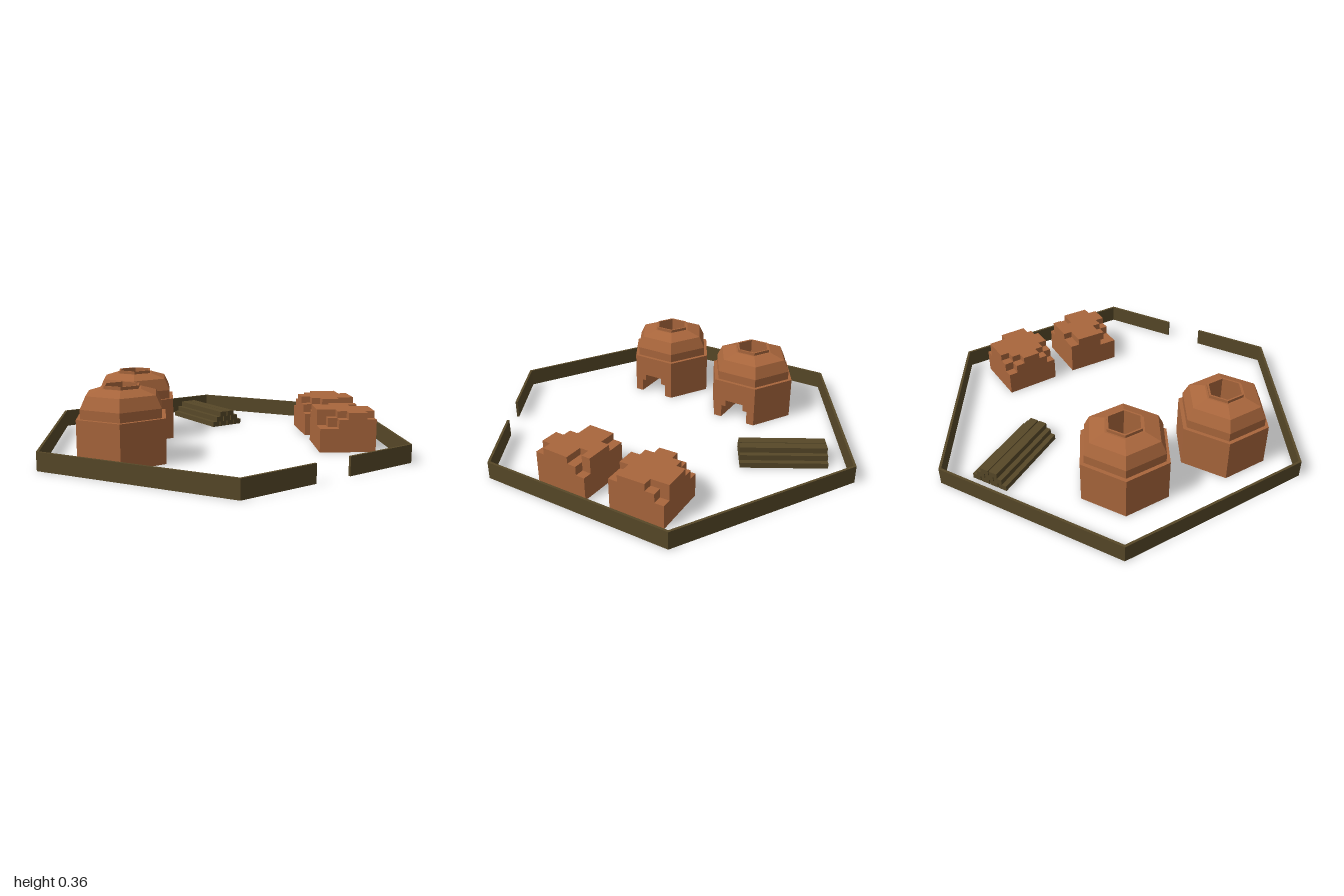
import * as THREE from 'three';

const clay = new THREE.MeshStandardMaterial({ color: 0xa9663c, flatShading: true });
const wood = new THREE.MeshStandardMaterial({ color: 0x574828, flatShading: true });

const polar = (r, deg) => {
  const a = THREE.MathUtils.degToRad(deg);
  return new THREE.Vector2(r * Math.cos(a), r * Math.sin(a));
};
const V = (x, y) => new THREE.Vector2(x, y);

// Upright prism from a floor plan (plan y points to -z)
function prism(name, plan, y0, y1, material, hole) {
  const shape = new THREE.Shape(plan);
  if (hole) shape.holes.push(new THREE.Path(hole));
  const geo = new THREE.ExtrudeGeometry(shape, { depth: y1 - y0, bevelEnabled: false });
  geo.rotateX(-Math.PI / 2).translate(0, y0, 0);
  const mesh = new THREE.Mesh(geo, material);
  mesh.name = name;
  return mesh;
}

function box(name, w, h, d, x, y, z, material) {
  const mesh = new THREE.Mesh(new THREE.BoxGeometry(w, h, d), material);
  mesh.position.set(x, y, z);
  mesh.name = name;
  return mesh;
}

// Hexagonal perimeter wall with an entrance gap in the front side
function perimeterWall() {
  const R = 1, r = 0.986, gap = 0.1, k = Math.sqrt(3) / 2;
  const angles = [300, 360, 420, 480, 540, 600];
  const plan = [
    V(gap, -R * k), ...angles.map(a => polar(R, a)), V(-gap, -R * k),
    V(-gap, -r * k), ...angles.reverse().map(a => polar(r, a)), V(gap, -r * k),
  ];
  return prism('perimeterWall', plan, 0, 0.09, wood);
}

// Hexagonal hut: walls with a stepped doorway, faceted dome and open shaft
function hut(x, z) {
  const g = new THREE.Group();
  g.name = 'hut';
  const R = 0.238, r = 0.085, face = R * Math.sqrt(3) / 2;
  const ring = [30, 90, 150, 210, 270, 330];
  const withDoor = w => {
    const xi = (r - w) * Math.sqrt(3);
    return [
      V(face, w), ...ring.map(a => polar(R, a)), V(face, -w),
      V(xi, -w), ...[270, 210, 150, 90].map(a => polar(r, a)), V(xi, w),
    ];
  };
  g.add(prism('lowerWall', withDoor(0.076), 0, 0.07, clay));
  g.add(prism('doorArchWall', withDoor(0.052), 0.07, 0.105, clay));
  g.add(prism('upperWall', ring.map(a => polar(R, a)), 0.105, 0.217, clay, ring.map(a => polar(r, a))));

  const profile = [
    [0.217, 0.217], [0.217, 0.262], [0.187, 0.322], [0.105, 0.347],
    [0.095, 0.347], [0.095, 0.362], [r, 0.362], [r, 0.217],
  ].map(p => V(...p));
  const dome = new THREE.Mesh(new THREE.LatheGeometry(profile, 6), clay);
  dome.name = 'dome';
  g.add(dome);

  g.position.set(x, 0, z);
  g.rotation.y = -Math.PI / 6;
  return g;
}

// Brick stack: solid block topped by courses with missing bricks.
// Each digit is the number of courses left in that cell.
function brickStack(x, z, deg, rows) {
  const g = new THREE.Group();
  g.name = 'brickStack';
  const size = 0.282, c = size / 6, levels = [0.08, 0.12, 0.165, 0.2];
  g.add(box('stackBase', size, 0.08, size, 0, 0.04, 0, clay));
  for (let k = 1; k < levels.length; k++) {
    const y0 = levels[k - 1], h = levels[k] - y0;
    rows.forEach((row, j) => {
      // merge neighbouring cells of a row into one long brick
      for (let i = 0; i < 6; i++) {
        const start = i;
        while (i < 6 && Number(row[i]) >= k) i++;
        const n = i - start;
        if (n > 0) {
          g.add(box('brickCourse', n * c, h, c,
            (start + n / 2 - 3) * c, y0 + h / 2, (j - 2.5) * c, clay));
        }
      }
    });
  }
  g.position.set(x, 0, z);
  g.rotation.y = -THREE.MathUtils.degToRad(deg);
  return g;
}

// Pyramid pile of beams lying front to back
function beamPile(x, z) {
  const g = new THREE.Group();
  g.name = 'beamPile';
  const h = 0.028, pitch = 0.05;
  for (let layer = 0; layer < 3; layer++) {
    const n = 4 - layer;
    for (let i = 0; i < n; i++) {
      g.add(box('beam', 0.045, h, 0.43, (i - (n - 1) / 2) * pitch, h * (layer + 0.5), 0, wood));
    }
  }
  g.position.set(x, 0, z);
  return g;
}

export function createModel() {
  const model = new THREE.Group();
  model.name = 'walledYard';
  model.add(
    perimeterWall(),
    hut(-0.575, 0.02),
    hut(-0.265, -0.43),
    brickStack(0.676, 0.078, 28.5, ['123331', '233332', '333333', '333333', '233333', '123322']),
    brickStack(0.475, 0.43, 32, ['223331', '333322', '333333', '333333', '123333', '112332']),
    beamPile(0.288, -0.547),
  );
  return model;
}
